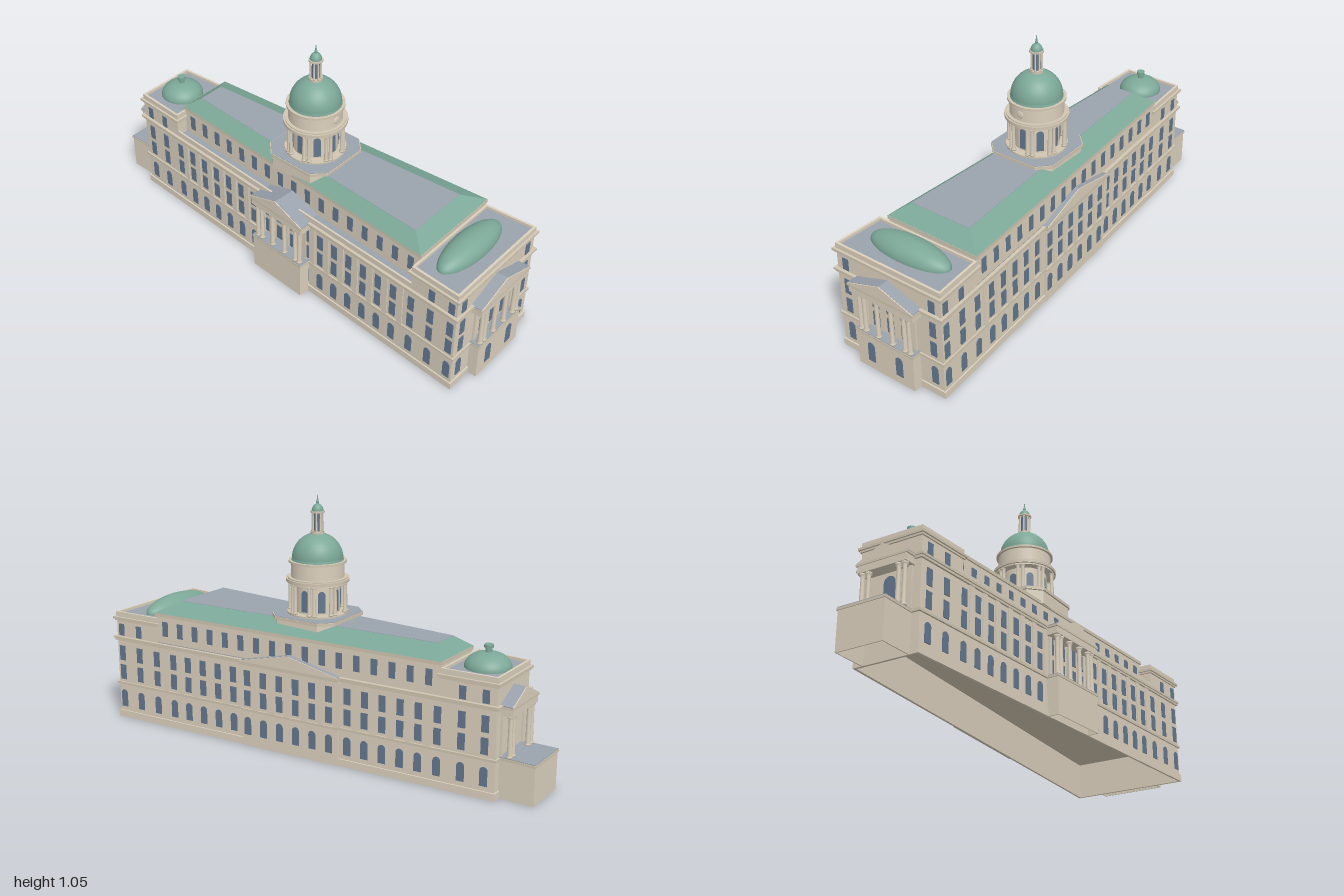
import * as THREE from 'three';

const mat = (name, color) => Object.assign(new THREE.MeshStandardMaterial({ color }), { name });

export function createModel() {
  const stone = mat('stone', 0xdbd0bd), trim = mat('trim stone', 0xd0c5b1);
  const copper = mat('copper green', 0x7ca898), slate = mat('grey roof', 0x9aa2ad);
  const glass = mat('window blue', 0x64788f);
  copper.side = THREE.DoubleSide;
  const model = new THREE.Group();
  model.name = 'domedHall';

  const add = (parent, name, geo, material, x = 0, y = 0, z = 0) => {
    const m = new THREE.Mesh(geo, material);
    m.name = name;
    m.position.set(x, y, z);
    parent.add(m);
    return m;
  };
  const box = (p, name, material, w, y0, y1, z0, z1, x = 0) =>
    add(p, name, new THREE.BoxGeometry(w, y1 - y0, z1 - z0), material, x, (y0 + y1) / 2, (z0 + z1) / 2);
  const shapeOf = pts => new THREE.Shape(pts.map(p => new THREE.Vector2(p[0], p[1])));
  const extrude = (shape, depth) => new THREE.ExtrudeGeometry(shape, { depth, bevelEnabled: false, curveSegments: 8 });

  // The building tapers from front to back
  const FRONT = 0.95, BACK = -0.85, SLOPE = 0.0667;
  const half = z => 0.253 + SLOPE * (z - FRONT);
  const trap = (z0, z1, l = 0, r = l, dz = l) => [
    [-half(z1) - l, z1 + dz], [half(z1) + r, z1 + dz], [half(z0) + r, z0 - dz], [-half(z0) - l, z0 - dz]];
  const prism = (name, material, pts, y0, y1, hole) => {
    const s = shapeOf(pts.map(([x, z]) => [x, -z]));
    if (hole) s.holes.push(new THREE.Path(hole.map(([x, z]) => new THREE.Vector2(x, -z))));
    return add(model, name, extrude(s, y1 - y0).rotateX(-Math.PI / 2), material, 0, y0, 0);
  };
  // Hollow ground-floor block: two side walls, a front wall and a lid, open below
  const hollow = (p, w, y1, depth) => {
    const t = 0.004;
    [-1, 1].forEach(s => box(p, 'baseSide', stone, t, 0, y1, 0, depth, s * (w - t) / 2));
    box(p, 'baseFront', stone, w, 0, y1, depth - t, depth);
    box(p, 'baseLid', stone, w, y1 - t, y1, 0, depth);
  };

  // Frame whose local z points out of the left (+1) or right (-1) wall
  const wallFrame = (side, z, off = 0) => {
    const g = new THREE.Group();
    g.name = 'wallBay';
    g.position.set(side * (half(z) + off), 0, z);
    g.rotation.y = Math.atan2(side, -SLOPE);
    model.add(g);
    return g;
  };

  const windowGeo = {};
  const pane = (parent, w, y0, y1, arched, x = 0, z = 0) => {
    const h = y1 - y0, key = [w, h.toFixed(3), arched].join();
    if (!windowGeo[key]) {
      const s = new THREE.Shape();
      s.moveTo(-w / 2, 0);
      s.lineTo(w / 2, 0);
      s.lineTo(w / 2, arched ? h - w / 2 : h);
      if (arched) s.absarc(0, h - w / 2, w / 2, 0, Math.PI, false);
      else s.lineTo(-w / 2, h);
      windowGeo[key] = extrude(s, 0.003);
    }
    return add(parent, 'window', windowGeo[key], glass, x, y0, z);
  };
  const column = (parent, x, z, y0, y1, r) => {
    const h = y1 - y0;
    const pts = [[0, 0], [r * 1.4, 0], [r * 1.4, h * 0.04], [r, h * 0.07], [r * 0.86, h * 0.92],
      [r * 1.35, h * 0.96], [r * 1.35, h], [0, h]].map(p => new THREE.Vector2(...p));
    return add(parent, 'column', new THREE.LatheGeometry(pts, 12), stone, x, y0, z);
  };
  // Stone gable with grey slopes laid just behind its face
  const pediment = (p, w, y0, y1, z0, z1) => {
    const gable = (name, m, dy, a, b) =>
      add(p, name, extrude(shapeOf([[-w, y0], [w, y0], [w, y0 + dy], [0, y1 + dy], [-w, y0 + dy]]), b - a), m, 0, 0, a);
    gable('gableRoof', slate, 0.004, z0, z1 - 0.004);
    gable('pediment', stone, 0.003, z1 - 0.004, z1);
  };
  // Projecting porch: base block, columns, entablature and gable
  const portico = (p, o) => {
    hollow(p, o.base * 2, 0.155, o.baseDepth);
    box(p, 'porticoBaseBand', trim, o.base * 2 + 0.008, 0.155, 0.165, -0.03, o.baseDepth + 0.003);
    box(p, 'porticoFloor', slate, o.base * 2 + 0.004, 0.165, 0.168, -0.02, o.baseDepth + 0.001);
    o.columns.forEach(x => [-x, x].forEach(s => column(p, s, o.depth - 0.018, 0.167, 0.335, 0.0095)));
    [-1, 1].forEach(s => box(p, 'pilaster', stone, 0.016, 0.167, 0.335, -0.01, 0.008, s * o.columns.at(-1)));
    box(p, 'entablature', stone, o.width * 2 - 0.012, 0.335, 0.363, -0.02, o.depth - 0.003);
    box(p, 'entablatureCornice', trim, o.width * 2, 0.363, 0.371, -0.02, o.depth);
    pediment(p, o.width - 0.002, 0.371, 0.424, -o.back, o.depth);
  };

  // Main body over an open-bottomed ground floor, with plinth, band and cornice
  prism('groundFloorWalls', stone, trap(BACK, FRONT), 0, 0.16, trap(BACK, FRONT, -0.004));
  prism('plinth', stone, trap(BACK, FRONT, 0.006), 0, 0.03, trap(BACK, FRONT, -0.002));
  prism('body', stone, trap(BACK, FRONT), 0.16, 0.365);
  prism('floorBand', trim, trap(BACK, FRONT, 0.007), 0.155, 0.165);
  prism('mainCornice', trim, trap(BACK, FRONT, 0.008), 0.358, 0.367);
  prism('mainCorniceTop', trim, trap(BACK, FRONT, 0.013), 0.367, 0.376);

  // End pavilions with thin parapets around flat roofs
  [[0.73, FRONT], [BACK, -0.62]].forEach(([z0, z1]) => {
    prism('pavilion', stone, trap(z0, z1), 0.37, 0.472);
    prism('pavilionRoof', slate, trap(z0, z1, -0.005), 0.472, 0.475);
    prism('pavilionCornice', trim, trap(z0, z1, 0.006), 0.447, 0.455);
    prism('pavilionCorniceTop', trim, trap(z0, z1, 0.012), 0.455, 0.465);
    prism('parapet', stone, trap(z0, z1, 0.002), 0.465, 0.487, trap(z0, z1, -0.008));
  });

  // Set-back attic, right-hand ledge and hipped roof
  const Z0 = -0.62, Z1 = 0.73;
  prism('ledge', slate, trap(Z0, Z1, -0.002), 0.376, 0.379);
  prism('ledgeParapet', stone, [[-half(Z1), Z1], [-half(Z1) + 0.008, Z1], [-half(Z0) + 0.008, Z0], [-half(Z0), Z0]], 0.37, 0.4);
  prism('attic', stone, trap(Z0, Z1, -0.05, -0.002, 0), 0.37, 0.5);
  prism('eaves', trim, trap(Z0, Z1, -0.044, 0.004, 0.003), 0.497, 0.511);
  const lo = trap(Z0, Z1, -0.044, 0.004, 0.002).map(([x, z]) => [x, 0.511, z]);
  const hiPts = trap(Z0 + 0.06, Z1 - 0.07, -0.1, -0.085, 0);
  const hi = hiPts.map(([x, z]) => [x, 0.554, z]);
  const slopes = [];
  for (let i = 0; i < 4; i++) {
    const j = (i + 1) % 4;
    slopes.push(...lo[i], ...lo[j], ...hi[j], ...lo[i], ...hi[j], ...hi[i]);
  }
  const hip = new THREE.BufferGeometry();
  hip.setAttribute('position', new THREE.Float32BufferAttribute(slopes, 3));
  hip.computeVertexNormals();
  add(model, 'roofSlopes', hip, copper);
  prism('roofFlat', slate, hiPts, 0.55, 0.555);

  // Side windows and flat pilasters
  const STEP = 0.0783;
  const ends = [0.925, 0.83, 0.735, -0.61, -0.71, -0.805];
  const mids = Array.from({ length: 16 }, (_, i) => 0.645 - i * STEP);
  const between = Array.from({ length: 17 }, (_, i) => 0.684 - i * STEP);
  const bayOffset = (side, z) => (side > 0 && z > -0.18 && z < 0.28 ? 0.01 : 0);
  [1, -1].forEach(side => {
    [...ends, ...mids].forEach((z, i) => {
      const f = wallFrame(side, z, bayOffset(side, z));
      pane(f, 0.032, 0.05, 0.128, true);
      pane(f, 0.03, 0.178, 0.245, false);
      pane(f, 0.03, 0.266, 0.333, false);
      if (i < 6 && i !== 2 && i !== 3) pane(f, 0.028, 0.38, 0.433, false);
    });
    between.forEach(z => {
      pane(wallFrame(side, z, side > 0 ? -0.002 : -0.05), 0.028, 0.41, 0.475, false);
      box(wallFrame(side, z, bayOffset(side, z)), 'pilaster', stone, 0.026, 0.165, 0.358, -0.005, 0.005);
    });
  });

  // Shallow centre bay with pediment on the left side
  const bay = wallFrame(1, 0.05);
  hollow(bay, 0.46, 0.155, 0.01);
  box(bay, 'centreBay', stone, 0.46, 0.16, 0.36, -0.02, 0.01);
  box(bay, 'centreBayBand', trim, 0.465, 0.155, 0.165, -0.02, 0.016);
  box(bay, 'centreBayCornice', trim, 0.47, 0.358, 0.372, -0.02, 0.022);
  pediment(bay, 0.233, 0.372, 0.426, -0.03, 0.022);

  // Porticoes at the right side, front and back
  portico(wallFrame(-1, 0.05), { base: 0.14, baseDepth: 0.052, width: 0.15, depth: 0.056, back: 0.055, columns: [0.035, 0.098, 0.122] });
  const endGroup = (name, z, turn) => {
    const g = new THREE.Group();
    g.name = name;
    g.position.z = z;
    g.rotation.y = turn;
    model.add(g);
    return g;
  };
  const front = endGroup('frontPortico', FRONT, 0);
  portico(front, { base: 0.14, baseDepth: 0.042, width: 0.162, depth: 0.05, back: 0.01, columns: [0.035, 0.098, 0.122] });
  [-0.07, 0.07].forEach(x => pane(front, 0.034, 0.038, 0.127, true, x, 0.042));
  [-0.07, 0, 0.07].forEach(x => [0.18, 0.268].forEach(y => pane(front, 0.032, y, y + 0.067, false, x)));
  [-0.21, 0.21].forEach(x => {
    pane(front, 0.031, 0.05, 0.13, true, x);
    [[0.18, 0.245], [0.268, 0.335], [0.38, 0.432]].forEach(([a, b]) => pane(front, 0.029, a, b, false, x));
  });
  const back = endGroup('backPortico', BACK, Math.PI);
  portico(back, { base: 0.1, baseDepth: 0.147, width: 0.113, depth: 0.055, back: 0.01, columns: [0.066, 0.092] });
  pane(back, 0.05, 0.175, 0.32, true);

  // Small domes on the end pavilions
  const cap = () => new THREE.SphereGeometry(1, 40, 12, 0, Math.PI * 2, 0, Math.PI / 2);
  add(model, 'frontOvalDome', cap(), copper, 0, 0.475, 0.82).scale.set(0.19, 0.06, 0.07);
  add(model, 'backDome', cap(), copper, 0, 0.475, -0.74).scale.set(0.092, 0.06, 0.092);
  add(model, 'backDomeFinial', new THREE.CylinderGeometry(0.013, 0.013, 0.03, 16), copper, 0, 0.545, -0.74);
  add(model, 'backDomeFinialCap', new THREE.CylinderGeometry(0.018, 0.018, 0.012, 16), copper, 0, 0.558, -0.74);

  // Central dome on an eight-sided base
  const CZ = 0.047;
  const oct = (r, c) => [[-r, -c], [-c, -r], [c, -r], [r, -c], [r, c], [c, r], [-c, r], [-r, c]].map(([x, z]) => [x, z + CZ]);
  prism('domeBase', stone, oct(0.149, 0.1), 0.5, 0.558);
  prism('domeBaseTop', trim, oct(0.156, 0.104), 0.555, 0.568);
  prism('domeTerrace', slate, oct(0.153, 0.102), 0.568, 0.57);
  const tower = new THREE.Group();
  tower.name = 'domeTower';
  tower.position.z = CZ;
  model.add(tower);
  const drum = (name, m, r, y0, y1, r2 = r) =>
    add(tower, name, new THREE.CylinderGeometry(r2, r, y1 - y0, 48), m, 0, (y0 + y1) / 2, 0);
  drum('drumStep', trim, 0.126, 0.57, 0.577);
  drum('lowerDrum', stone, 0.092, 0.577, 0.7);
  drum('drumEntablature', stone, 0.124, 0.698, 0.704);
  drum('drumCornice', trim, 0.131, 0.704, 0.717);
  drum('drumCorniceStep', trim, 0.124, 0.717, 0.722);
  drum('upperDrum', stone, 0.11, 0.72, 0.782);
  drum('upperCornice', trim, 0.119, 0.782, 0.791);
  drum('domeFoot', copper, 0.107, 0.791, 0.8, 0.105);
  add(tower, 'mainDome', cap(), copper, 0, 0.797, 0).scale.set(0.105, 0.104, 0.105);
  add(tower, 'ovalMedallion', new THREE.SphereGeometry(1, 20, 12), stone, 0, 0.75, 0.109).scale.set(0.016, 0.016, 0.004);
  for (let i = 0; i < 8; i++) {
    const f = new THREE.Group();
    f.name = 'drumBay';
    f.rotation.y = i * Math.PI / 4;
    tower.add(f);
    pane(f, 0.03, 0.585, 0.675, true, 0, 0.0905);
    [17.5, 27.5].forEach(d => {
      const a = d * Math.PI / 180;
      column(f, 0.115 * Math.sin(a), 0.115 * Math.cos(a), 0.577, 0.7, 0.0075);
    });
    const b = Math.PI / 8;
    column(f, 0.022 * Math.sin(b), 0.022 * Math.cos(b), 0.907, 0.985, 0.0036);
  }

  // Lantern and spire
  drum('lanternBase', trim, 0.028, 0.896, 0.907);
  drum('lanternCore', glass, 0.016, 0.905, 0.986);
  drum('lanternCornice', trim, 0.029, 0.984, 0.991);
  add(tower, 'lanternDome', cap(), copper, 0, 0.99, 0).scale.set(0.024, 0.03, 0.024);
  drum('spire', copper, 0.006, 1.015, 1.055, 0.0008);
  add(tower, 'spireBall', new THREE.SphereGeometry(0.006, 12, 8), copper, 0, 1.026, 0);
  return model;
}
